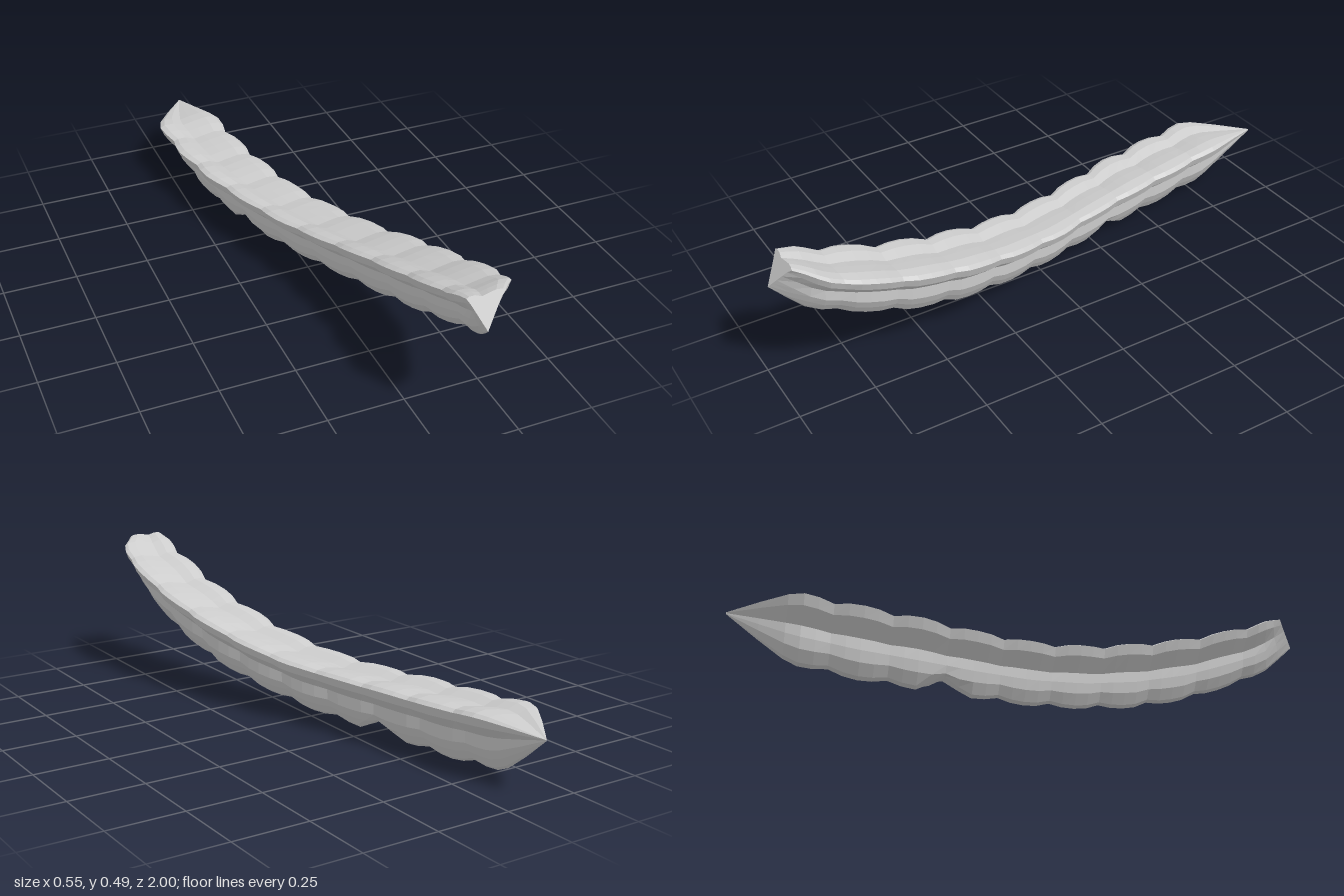
import * as THREE from 'three';

// Stations along the pod: z, left x, right x, bottom y, top y
const STATIONS = [
  [-1, -0.132, -0.128, 0.183, 0.188],
  [-0.9, -0.208, -0.092, 0.1, 0.205],
  [-0.8, -0.275, -0.055, 0.025, 0.22],
  [-0.6, -0.259, -0.03, 0.004, 0.207],
  [-0.4, -0.222, 0.005, 0.006, 0.205],
  [-0.2, -0.162, 0.05, 0.016, 0.206],
  [0, -0.1, 0.117, 0.035, 0.22],
  [0.2, -0.04, 0.176, 0.068, 0.256],
  [0.4, 0.005, 0.23, 0.112, 0.31],
  [0.6, 0.037, 0.261, 0.175, 0.368],
  [0.8, 0.054, 0.273, 0.262, 0.44],
  [0.9, 0.06, 0.25, 0.31, 0.474],
  [0.95, 0.066, 0.22, 0.352, 0.486],
  [1, 0.07, 0.192, 0.4, 0.493],
];

// Cross-section: broad grooved top with high outer edges, narrowing to a waist
// and a rounded keel. u runs -1..1 across, v runs 0..1 upward; anticlockwise
// seen from the front.
const SECTION = [
  [-0.22, 0.92], [-0.55, 0.99], [-0.85, 0.99], [-1, 0.95], [-0.88, 0.78],
  [-0.43, 0.56], [-0.4, 0.38], [-0.32, 0.2], [-0.1, 0.03],
  [0.05, 0], [0.16, 0.05], [0.33, 0.2], [0.47, 0.36], [0.48, 0.57],
  [0.9, 0.78], [1, 0.93], [0.88, 0.98], [0.55, 1], [0.12, 0.96],
];

const PERIOD = 0.187;
const FIRST_CUSP = -0.68;
const DENT_Z = FIRST_CUSP + 2 * PERIOD;
const { clamp, lerp } = THREE.MathUtils;

function stationAt(z) {
  let i = 0;
  while (i < STATIONS.length - 2 && z > STATIONS[i + 1][0]) i++;
  const a = STATIONS[i], b = STATIONS[i + 1];
  const t = (z - a[0]) / (b[0] - a[0]);
  return a.map((v, k) => lerp(v, b[k], t));
}

// Rounded swelling between the cusps, fading out at both ends
function swelling(z) {
  const scallop = Math.abs(Math.sin(Math.PI * (z - FIRST_CUSP) / PERIOD));
  const fade = clamp(Math.min((z + 1) / 0.2, (1 - z) / 0.12), 0, 1);
  return fade * (0.14 * Math.pow(scallop, 0.7) - 0.11);
}

function ringAt(z) {
  const [, left, right, low, high] = stationAt(z);
  const s = swelling(z);
  const dent = Math.max(0, 1 - Math.abs(z - DENT_Z) / 0.09);
  const front = clamp((z - 0.85) / 0.15, 0, 1);
  return SECTION.map(([u, v]) => {
    // The front end narrows to a V below the wings
    const vee = v > 0.9 ? u : -0.25 + (u < -0.05 ? -0.75 : 1.25) * v;
    const across = lerp(u, vee, front * front);
    const up = Math.max(v, 0.24 * dent);
    const swellUp = 1 + s * (v > 0.5 ? 0.6 : 1);
    return [
      (left + right) / 2 + across * (1 + s) * (right - left) / 2,
      (low + high) / 2 + (up - 0.5) * swellUp * (high - low),
      z - front * 0.055 * v,
    ];
  });
}

function podGeometry() {
  // Four rings per swelling, plus the two tapered ends
  const levels = [-1, -0.9];
  for (let k = -3; k <= 33; k++) levels.push(FIRST_CUSP + k * PERIOD / 4);
  levels.push(0.91, 0.955, 1);

  const rings = levels.map(ringAt);
  const n = SECTION.length;
  const positions = rings.flat(2);
  const index = [];
  for (let i = 0; i < rings.length - 1; i++) {
    for (let j = 0; j < n; j++) {
      const a = i * n + j, b = i * n + (j + 1) % n;
      index.push(a, b, a + n, b, b + n, a + n);
    }
  }

  // Slanted front cap and tiny rear cap
  const addCap = (ringIndex, front) => {
    const ring = rings[ringIndex];
    const centre = [0, 1, 2].map((k) => ring.reduce((sum, p) => sum + p[k], 0) / n);
    const c = positions.length / 3;
    positions.push(...centre);
    for (let j = 0; j < n; j++) {
      const a = ringIndex * n + j, b = ringIndex * n + (j + 1) % n;
      index.push(c, front ? a : b, front ? b : a);
    }
  };
  addCap(0, false);
  addCap(rings.length - 1, true);

  const geometry = new THREE.BufferGeometry();
  geometry.setAttribute('position', new THREE.Float32BufferAttribute(positions, 3));
  geometry.setIndex(index);
  const flat = geometry.toNonIndexed();
  flat.computeVertexNormals();
  return flat;
}

export function createModel() {
  const group = new THREE.Group();
  group.name = 'ribbedPod';

  const grey = new THREE.MeshStandardMaterial({ color: 0xcccccc, flatShading: true });
  grey.name = 'light grey';

  const pod = new THREE.Mesh(podGeometry(), grey);
  pod.name = 'podBody';
  group.add(pod);
  return group;
}
